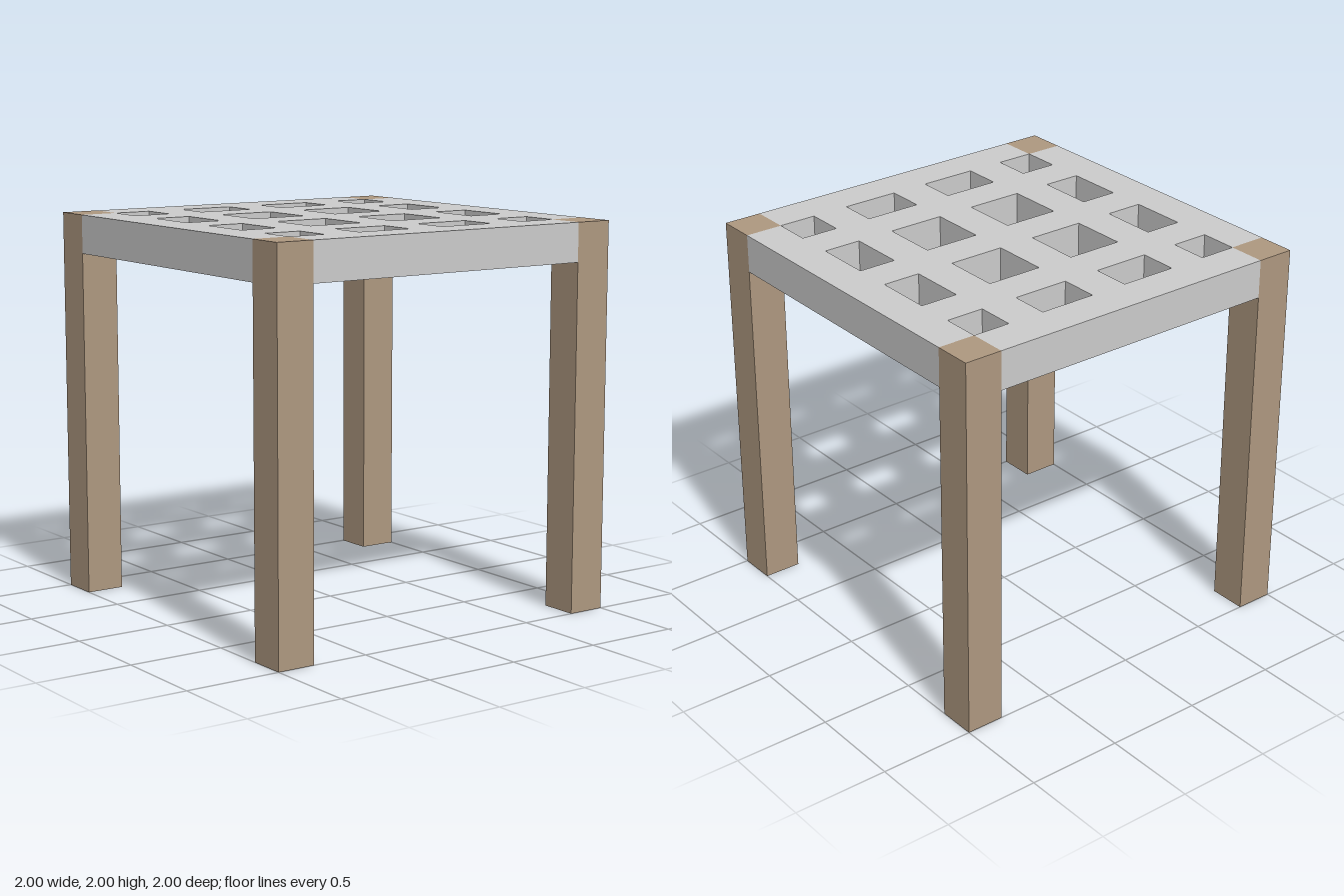
import * as THREE from 'three';

export function createModel() {
  const model = new THREE.Group();
  model.name = 'latticeTable';
  const wood = new THREE.MeshStandardMaterial({ color: 0xae9880 });
  const grey = new THREE.MeshStandardMaterial({ color: 0xcccccc });
  const T = 0.2; // thickness of every leg, rail and slat

  const addBox = (parent, name, material, size, position) => {
    const mesh = new THREE.Mesh(new THREE.BoxGeometry(...size), material);
    mesh.position.set(...position);
    mesh.name = name;
    parent.add(mesh);
  };

  // Four square corner legs, running up flush with the top
  const legs = new THREE.Group();
  legs.name = 'legs';
  for (const x of [-0.9, 0.9])
    for (const z of [-0.9, 0.9])
      addBox(legs, `${z > 0 ? 'front' : 'back'}${x > 0 ? 'Left' : 'Right'}Leg`, wood, [T, 2, T], [x, 1, z]);
  model.add(legs);

  const top = new THREE.Group();
  top.name = 'latticeTop';
  model.add(top);

  // Outer rails between the legs
  for (const s of [-0.9, 0.9]) {
    addBox(top, s > 0 ? 'frontRail' : 'backRail', grey, [1.6, T, T], [0, 1.9, s]);
    addBox(top, s > 0 ? 'leftRail' : 'rightRail', grey, [T, T, 1.6], [s, 1.9, 0]);
  }

  // Inner slats running from side to side
  const slats = [-0.5, 0, 0.5];
  for (const z of slats) addBox(top, 'crossSlat', grey, [1.6, T, T], [0, 1.9, z]);

  // Short pieces filling in front to back between the cross slats
  const gaps = [[-0.8, -0.6], [-0.4, -0.1], [0.1, 0.4], [0.6, 0.8]];
  for (const x of slats)
    for (const [a, b] of gaps)
      addBox(top, 'slatSegment', grey, [T, T, b - a], [x, 1.9, (a + b) / 2]);

  return model;
}
